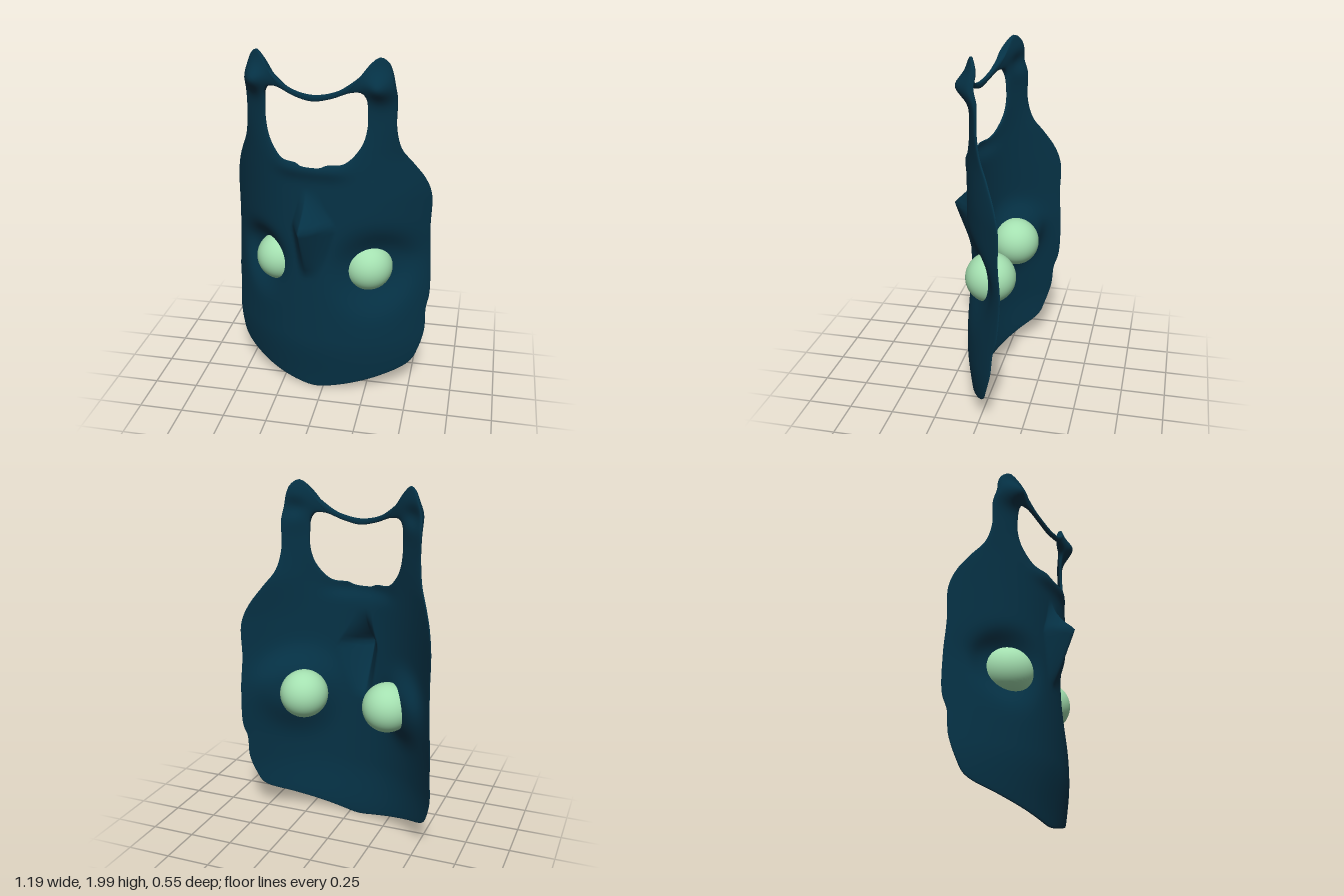
import * as THREE from 'three';

const V = (x, y) => new THREE.Vector2(x, y);
const bump = (d, r, p = 2) => Math.exp(-Math.pow(Math.abs(d) / r, p));
const step = THREE.MathUtils.smoothstep;

// Right half outline (bottom to top), mirrored into a closed smooth loop
function mirroredLoop(half, count) {
  const left = half.slice(1, -1).reverse().map(([x, y]) => [-x, y]);
  const pts = [...half, ...left].map(([x, y]) => new THREE.Vector3(x, y, 0));
  const curve = new THREE.CatmullRomCurve3(pts, true, 'centripetal');
  curve.arcLengthDivisions = 1000;
  return curve.getSpacedPoints(count).slice(0, count).map((p) => V(p.x, p.y));
}

const outerHalf = [
  [0, 0.01], [0.1, 0.025], [0.36, 0.1], [0.51, 0.17], [0.55, 0.25], [0.575, 0.36], [0.575, 0.5],
  [0.587, 0.58], [0.58, 0.8], [0.572, 1.0], [0.572, 1.2], [0.545, 1.31], [0.497, 1.41],
  [0.448, 1.5], [0.424, 1.62], [0.422, 1.8], [0.402, 1.91], [0.375, 1.975], [0.337, 2.0],
  [0.3, 1.975], [0.245, 1.905], [0.2, 1.868], [0.13, 1.825], [0, 1.799],
];
const holeHalf = [
  [0, 1.415], [0.06, 1.42], [0.085, 1.432], [0.165, 1.438], [0.205, 1.462], [0.262, 1.54], [0.285, 1.63],
  [0.285, 1.72], [0.28, 1.79], [0.255, 1.82], [0.2, 1.82], [0.1, 1.785], [0, 1.766],
];
const CENTRE_Y = 1.55;

// Distance from the hole centre to the hole edge along a direction
function rayLength(loop, dx, dy) {
  for (let i = 0; i < loop.length; i++) {
    const a = loop[i], b = loop[(i + 1) % loop.length];
    const ca = dx * (a.y - CENTRE_Y) - dy * a.x;
    const cb = dx * (b.y - CENTRE_Y) - dy * b.x;
    if (ca <= 0 && cb > 0) {
      const t = ca / (ca - cb);
      const x = a.x + (b.x - a.x) * t, y = a.y + (b.y - a.y) * t - CENTRE_Y;
      const along = x * dx + y * dy;
      if (along > 0) return along;
    }
  }
  return 0.14;
}

// Nose: sharp tip, steep on one side and long on the other, tapering down to a point
function noseHeight(x, y) {
  const rise = y > 1.08
    ? Math.pow(Math.max(0, (1.29 - y) / 0.21), 1.8)
    : Math.pow(Math.max(0, (y - 0.77) / 0.31), 0.9);
  const d = x + 0.03;
  const width = (d < 0 ? 0.085 : 0.17) * (0.45 + 0.55 * rise);
  return 0.14 * rise * Math.pow(Math.max(0, 1 - Math.abs(d) / width), 1.1);
}

// Eye socket: sharp under the brow, fading gently down the cheek, wider on the left
function socketDepth(x, y) {
  const dy = y - 0.82;
  const d = Math.hypot(Math.abs(x) - 0.335, dy > 0 ? dy : dy * 0.75);
  return 0.088 * bump(d, x < 0 ? 0.145 : 0.18, 3);
}

// Depth of the curved sheet: wrap, nose, eye sockets, neckline lip and corner bulges
function sheetDepth(x, y) {
  const ax = Math.abs(x);
  const handle = step(y, 1.42, 1.65);
  const wrap = 0.8 + 0.2 * step(y, 0.05, 0.9) - 0.22 * handle;
  let z = 0.134 - 0.35 * wrap * Math.pow(ax / 0.585, 2.2) - 0.025 * handle;
  z -= 0.03 * (1 - step(y, 0, 0.35));
  z += noseHeight(x, y) - socketDepth(x, y);
  z += 0.02 * bump(y - 1.4, 0.05) * bump(x, 0.2, 4);
  z += 0.045 * bump(y - 1.85, 0.06) * bump(ax - 0.36, 0.07);
  return z;
}

// Closed thin sheet swept around the handle opening
function maskGeometry() {
  const M = 280, K = 140;
  const outer = mirroredLoop(outerHalf, M), hole = mirroredLoop(holeHalf, 160);
  const pos = [], index = [];
  outer.forEach((p, i) => {
    const R = Math.hypot(p.x, p.y - CENTRE_Y);
    const dx = p.x / R, dy = (p.y - CENTRE_Y) / R;
    const r0 = rayLength(hole, dx, dy);
    for (let k = 0; k < K; k++) {
      const a = (2 * Math.PI * k) / K;
      const r = r0 + (R - r0) * (1 - Math.cos(a)) / 2;
      const x = dx * r, y = CENTRE_Y + dy * r;
      const thick = 0.012 + 0.035 * bump(y - 1.86, 0.09) * bump(Math.abs(x) - 0.35, 0.1);
      const side = Math.sign(Math.sin(a)) * Math.sqrt(Math.abs(Math.sin(a)));
      // the body is a little wider on its left
      const lean = (x > 0 ? 0.024 : 0.004) * step(Math.abs(x), 0.1, 0.5) * (1 - step(y, 1.2, 1.5));
      pos.push(x + lean, y, sheetDepth(x, y) + thick * side);
      const n = ((i + 1) % M) * K, m = i * K, k2 = (k + 1) % K;
      index.push(m + k, m + k2, n + k, n + k, m + k2, n + k2);
    }
  });
  const g = new THREE.BufferGeometry();
  g.setAttribute('position', new THREE.Float32BufferAttribute(pos, 3));
  g.setIndex(index);
  g.computeVertexNormals();
  return g;
}

export function createModel() {
  const group = new THREE.Group();
  group.name = 'mask';
  const teal = new THREE.MeshStandardMaterial({ color: 0x053246 });
  teal.name = 'deep teal';
  const mint = new THREE.MeshStandardMaterial({ color: 0xa4e0b0 });
  mint.name = 'pale green';

  // Face sheet with handle loop, turned slightly to one side
  const face = new THREE.Mesh(maskGeometry(), teal);
  face.name = 'faceSheet';
  face.rotation.y = -0.122;
  face.position.x = -0.041;
  group.add(face);

  // Eyeballs set through the sheet
  const ball = new THREE.SphereGeometry(0.14, 48, 32);
  [['rightEye', -0.28, -0.05], ['leftEye', 0.24, -0.015]].forEach(([name, x, z]) => {
    const eye = new THREE.Mesh(ball, mint);
    eye.name = name;
    eye.position.set(x, 0.787, z);
    group.add(eye);
  });
  return group;
}
